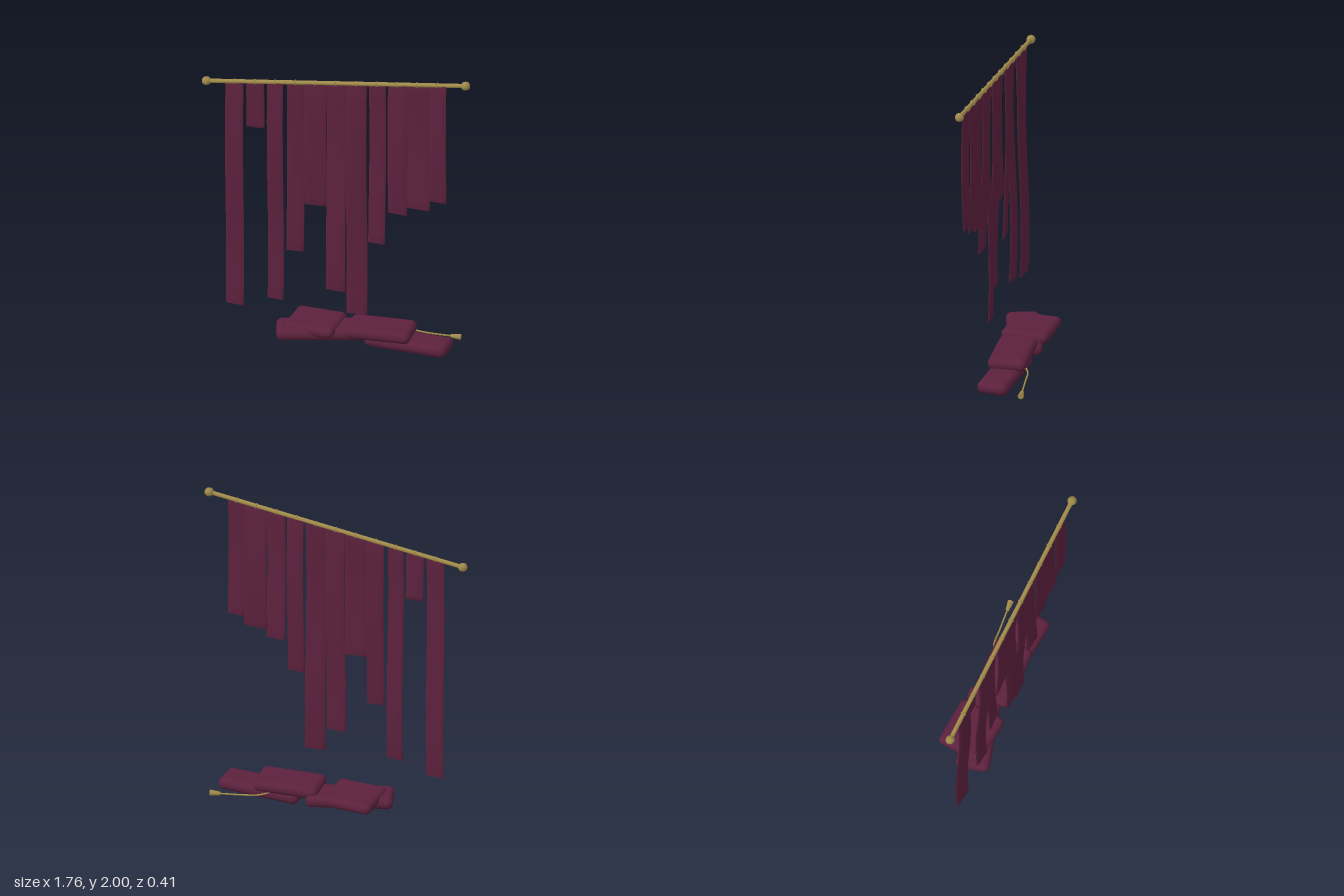
import * as THREE from 'three';
import { mergeVertices } from 'three/addons/utils/BufferGeometryUtils.js';
import { RoundedBoxGeometry } from 'three/addons/geometries/RoundedBoxGeometry.js';

const ROD_Z = 0.168;
const rodY = (x) => 1.766 + (x + 0.855) * 0.1225;

export function createModel() {
  const model = new THREE.Group();
  const cloth = new THREE.MeshStandardMaterial({ color: 0x5c213d });
  cloth.name = 'burgundy cloth';
  const brass = new THREE.MeshStandardMaterial({ color: 0xa08a4a });
  brass.name = 'aged brass';

  const add = (parent, name, geometry, material) => {
    const mesh = new THREE.Mesh(geometry, material);
    mesh.name = name;
    parent.add(mesh);
    return mesh;
  };

  // Sloping rod: built along its own y axis, then laid over
  const rod = new THREE.Group();
  rod.name = 'curtainRod';
  rod.position.set(-0.005, rodY(-0.005), ROD_Z);
  rod.rotation.z = Math.atan(0.1225) - Math.PI / 2;
  model.add(rod);
  add(rod, 'pole', new THREE.CylinderGeometry(0.014, 0.014, 1.7, 10), brass);
  for (const side of [-1, 1]) {
    add(rod, 'finial', new THREE.SphereGeometry(0.03, 8, 6), brass).position.y = side * 0.856;
  }
  for (let i = 0; i < 11; i++) {
    const ring = add(rod, 'curtainRing', new THREE.TorusGeometry(0.015, 0.004, 6, 12), brass);
    ring.rotation.x = Math.PI / 2;
    ring.position.y = (-0.665 + i * 0.133) * 1.0075;
  }

  // Torn cloth strip: thin soft-edged slab that waves in depth as it falls
  function strip(left, right, bottom, yaw, wave, phase) {
    const width = right - left, middle = (left + right) / 2;
    const box = new THREE.BoxGeometry(width, 1, 0.01, 4, 12, 1);
    box.deleteAttribute('normal');
    box.deleteAttribute('uv');
    const geometry = mergeVertices(box);
    const p = geometry.attributes.position;
    for (let i = 0; i < p.count; i++) {
      const x = p.getX(i), v = p.getY(i) + 0.5;
      const top = rodY(middle + x) - 0.005;
      const drop = (1 - v) * (top - bottom);
      const z = p.getZ(i) + x * yaw + wave * Math.sin(drop * 3.6 + phase);
      p.setXYZ(i, middle + x, bottom + v * (top - bottom), ROD_Z + z);
    }
    geometry.computeVertexNormals();
    add(curtain, 'clothStrip', geometry, cloth);
  }
  const curtain = new THREE.Group();
  curtain.name = 'tornCurtain';
  model.add(curtain);
  [
    [-0.73, -0.61, 0.235, 0.12, 0.012, 0.2],
    [-0.595, -0.48, 1.48, 0.0, -0.016, 0.3],
    [-0.455, -0.35, 0.31, 0.1, 0.014, 0.5],
    [-0.325, -0.215, 0.67, -0.08, -0.01, 0.0],
    [-0.21, -0.065, 1.0, -0.06, 0.013, 0.4],
    [-0.068, 0.06, 0.43, 0.1, -0.013, 0.2],
    [0.064, 0.195, 0.28, -0.08, 0.014, 0.0],
    [0.21, 0.32, 0.8, 0.08, -0.014, 0.3],
    [0.335, 0.46, 1.015, 0.12, 0.01, 0.2],
    [0.455, 0.61, 1.07, 0.05, -0.014, 0.1],
    [0.61, 0.72, 1.135, 0.1, 0.013, 0.3],
  ].forEach((s) => strip(...s));

  // Heap of folded cloth on the floor: size, centre, yaw
  const heap = new THREE.Group();
  heap.name = 'fallenCloth';
  model.add(heap);
  [
    [[0.55, 0.08, 0.215], [-0.155, 0.065, 0.02], 0.3],
    [[0.33, 0.07, 0.305], [-0.198, 0.09, -0.014], -0.05],
    [[0.545, 0.08, 0.2], [0.417, 0.045, -0.01], -0.06],
    [[0.42, 0.08, 0.245], [0.235, 0.105, -0.012], 0.055],
  ].forEach(([size, centre, yaw]) => {
    const fold = add(heap, 'clothFold', new RoundedBoxGeometry(...size, 4, size[1] * 0.48), cloth);
    fold.position.set(...centre);
    fold.rotation.y = yaw;
  });

  // Tie cord trailing out of the heap, ending in a flared tassel
  const tie = new THREE.Group();
  tie.name = 'tieCord';
  model.add(tie);
  const end = new THREE.Vector3(0.645, 0.036, -0.184);
  const path = new THREE.CatmullRomCurve3([
    new THREE.Vector3(0.3, 0.075, -0.08),
    new THREE.Vector3(0.38, 0.06, -0.148),
    new THREE.Vector3(0.5, 0.045, -0.166),
    end,
  ]);
  add(tie, 'cord', new THREE.TubeGeometry(path, 20, 0.006, 6), brass);
  const tassel = add(tie, 'tassel', new THREE.CylinderGeometry(0.02, 0.012, 0.065, 8), brass);
  const direction = new THREE.Vector3(1, -0.03, -0.12).normalize();
  tassel.position.copy(end).addScaledVector(direction, 0.026);
  tassel.quaternion.setFromUnitVectors(new THREE.Vector3(0, 1, 0), direction);

  return model;
}
